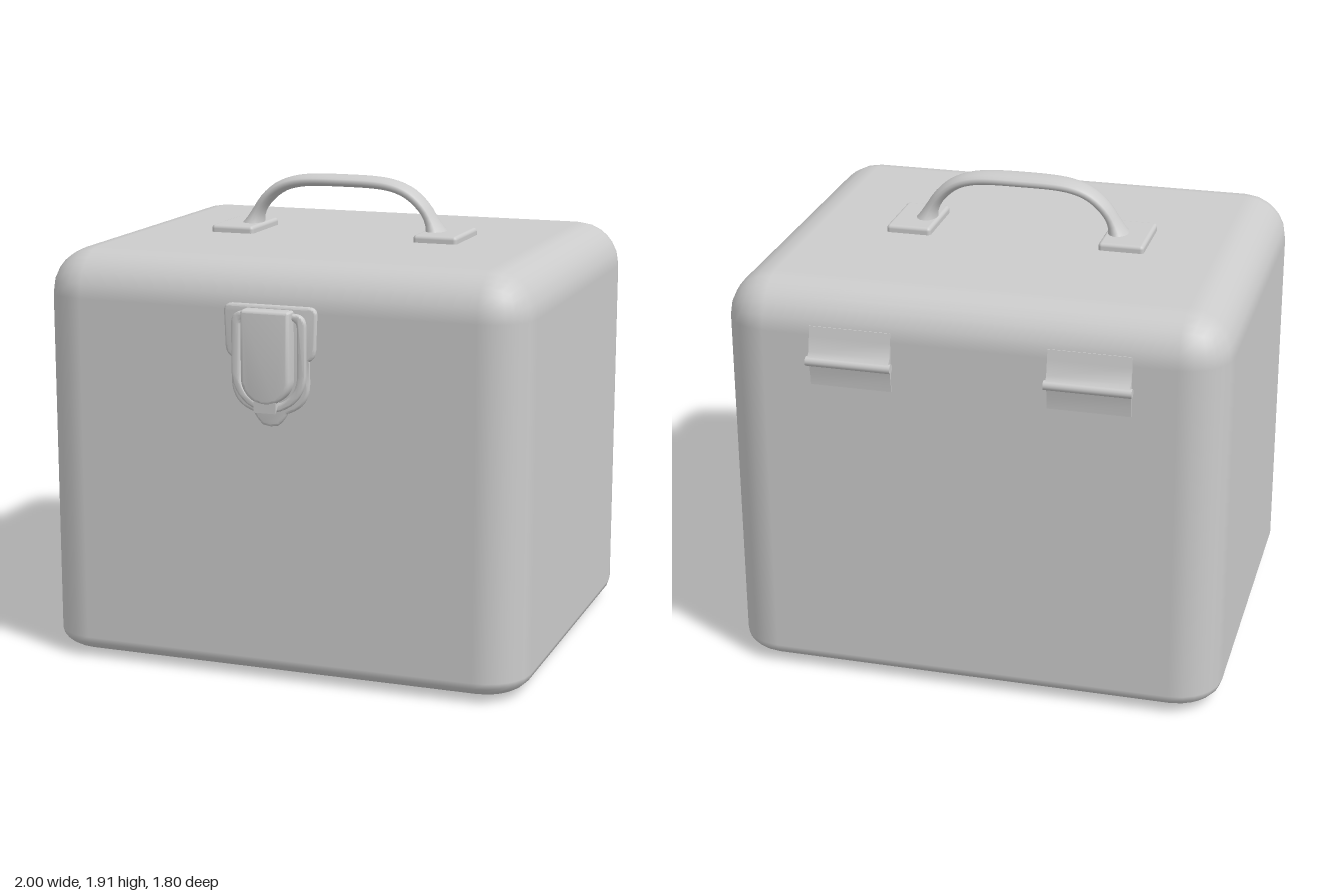
import * as THREE from 'three';
import { mergeVertices, toCreasedNormals } from 'three/addons/utils/BufferGeometryUtils.js';
import { RoundedBoxGeometry } from 'three/addons/geometries/RoundedBoxGeometry.js';

const grey = new THREE.MeshStandardMaterial({ color: 0xcccccc });

function add(parent, name, geometry, x = 0, y = 0, z = 0) {
  const mesh = new THREE.Mesh(geometry, grey);
  mesh.name = name;
  mesh.position.set(x, y, z);
  parent.add(mesh);
  return mesh;
}

// Case body: rounded box whose bottom edge is rounded more tightly in height
function bodyGeometry() {
  const h = 1.67, r = 0.185, bottom = 0.085;
  const g = new RoundedBoxGeometry(2, h, 1.68, 3, r);
  g.translate(0, h / 2, 0);
  const p = g.attributes.position, n = g.attributes.normal;
  const v = new THREE.Vector3();
  for (let i = 0; i < p.count; i++) {
    if (p.getY(i) > r + 0.001) continue;
    p.setY(i, p.getY(i) * bottom / r);
    v.fromBufferAttribute(n, i);
    v.y *= r / bottom;
    v.normalize();
    n.setXYZ(i, v.x, v.y, v.z);
  }
  return g;
}

// Grip: arched tube, widest in the middle and flared at the feet
function gripGeometry() {
  const half = [[0.4, 1.685], [0.385, 1.73], [0.35, 1.79], [0.285, 1.848], [0.2, 1.879]];
  const points = [
    ...half.map(([x, y]) => new THREE.Vector3(-x, y, 0)),
    new THREE.Vector3(0, 1.889, 0),
    ...half.slice().reverse().map(([x, y]) => new THREE.Vector3(x, y, 0)),
  ];
  const curve = new THREE.CatmullRomCurve3(points);
  const rings = 40, sides = 14;
  const g = new THREE.TubeGeometry(curve, rings, 1, sides);
  const p = g.attributes.position;
  for (let i = 0; i < p.count; i++) {
    const t = Math.floor(i / (sides + 1)) / rings;
    const c = curve.getPointAt(t);
    const s = Math.abs(2 * t - 1);
    const flare = Math.max(0, (s - 0.82) / 0.18) ** 2;
    const thick = 0.025 + 0.022 * flare;
    const wide = 0.045 + 0.02 * Math.cos(s * Math.PI / 2) ** 2 + 0.025 * flare;
    p.setXYZ(i,
      c.x + (p.getX(i) - c.x) * thick,
      c.y + (p.getY(i) - c.y) * thick,
      p.getZ(i) * wide);
  }
  g.deleteAttribute('uv');
  g.deleteAttribute('normal');
  const merged = mergeVertices(g);
  merged.computeVertexNormals();
  return merged;
}

// Bevelled plate from a shape, with its outer size kept and its back at z = 0
function plate(shape, depth, bevel) {
  const g = new THREE.ExtrudeGeometry(shape, {
    depth: depth - bevel, bevelEnabled: true, bevelThickness: bevel,
    bevelSize: bevel, bevelOffset: -bevel, bevelSegments: 3, curveSegments: 10,
  });
  return toCreasedNormals(g, 0.7);
}

// U shape: flat top with small corner radius, round bottom
function uShape(w, top, bottom, r, Path = THREE.Shape) {
  const s = new Path();
  s.moveTo(-w, top - r);
  s.lineTo(-w, bottom + w);
  s.absarc(0, bottom + w, w, Math.PI, Math.PI * 2, false);
  s.lineTo(w, top - r);
  s.quadraticCurveTo(w, top, w - r, top);
  s.lineTo(-w + r, top);
  s.quadraticCurveTo(-w, top, -w, top - r);
  return s;
}

// Back plate of the latch: broad shoulders, rounded waist and a small tail
function latchPlateShape() {
  const s = new THREE.Shape();
  s.moveTo(0, 1.035);
  s.lineTo(0.03, 1.04);
  s.quadraticCurveTo(0.055, 1.06, 0.07, 1.09);
  s.quadraticCurveTo(0.16, 1.12, 0.16, 1.21);
  s.lineTo(0.16, 1.3);
  s.quadraticCurveTo(0.185, 1.315, 0.185, 1.35);
  s.lineTo(0.19, 1.48);
  s.quadraticCurveTo(0.19, 1.51, 0.155, 1.51);
  s.lineTo(-0.155, 1.51);
  s.quadraticCurveTo(-0.19, 1.51, -0.19, 1.48);
  s.lineTo(-0.185, 1.35);
  s.quadraticCurveTo(-0.185, 1.315, -0.16, 1.3);
  s.lineTo(-0.16, 1.21);
  s.quadraticCurveTo(-0.16, 1.12, -0.07, 1.09);
  s.quadraticCurveTo(-0.055, 1.06, -0.03, 1.04);
  return s;
}

// Side profile extruded along x; the profile's first axis points out at the back
function alongX(points, width) {
  const shape = new THREE.Shape(points.map(([d, y]) => new THREE.Vector2(d, y)));
  const g = new THREE.ExtrudeGeometry(shape, { depth: width, bevelEnabled: false });
  g.translate(0, 0, -width / 2);
  g.rotateY(Math.PI / 2);
  return toCreasedNormals(g, 0.6);
}

export function createModel() {
  const model = new THREE.Group();
  model.name = 'carryingCase';
  add(model, 'body', bodyGeometry(), 0, 0, -0.015);

  // Top handle with two foot plates
  const handle = new THREE.Group();
  handle.name = 'handle';
  handle.position.set(-0.008, 0, -0.012);
  model.add(handle);
  add(handle, 'grip', gripGeometry());
  for (const side of [-1, 1]) {
    const foot = new RoundedBoxGeometry(0.185, 0.05, 0.3, 3, 0.015);
    add(handle, side > 0 ? 'leftFoot' : 'rightFoot', foot, side * 0.44, 1.675, 0);
  }

  // Front latch: back plate, raised frame, tongue and pull lip
  const latch = new THREE.Group();
  latch.name = 'latch';
  latch.position.set(-0.003, 0, 0.815);
  model.add(latch);
  add(latch, 'latchPlate', plate(latchPlateShape(), 0.027, 0.01));
  const frame = uShape(0.152, 1.485, 1.095, 0.05);
  frame.holes.push(uShape(0.118, 1.46, 1.125, 0.03, THREE.Path));
  add(latch, 'latchFrame', plate(frame, 0.048, 0.008));
  add(latch, 'latchTongue', plate(uShape(0.1, 1.497, 1.13, 0.012), 0.085, 0.014));
  const lip = [[-0.082, 1.1], [-0.058, 1.125], [-0.04, 1.145], [-0.082, 1.145]];
  add(latch, 'pullLip', alongX(lip, 0.09));

  // Back hinges: curved leaf with a knuckle rod
  const leaf = [[-0.03, 1.52], [0, 1.52], [0.008, 1.48], [0.02, 1.42], [0.038, 1.402],
    [0.038, 1.37], [0.018, 1.36], [0.01, 1.32], [0.007, 1.28], [-0.03, 1.28]].reverse();
  for (const side of [-1, 1]) {
    const hinge = new THREE.Group();
    hinge.name = side > 0 ? 'leftHinge' : 'rightHinge';
    hinge.position.set(side * 0.47 - 0.01, 0, -0.852);
    model.add(hinge);
    add(hinge, 'leaf', alongX(leaf, 0.325));
    const rod = new THREE.CylinderGeometry(0.019, 0.019, 0.34, 14);
    rod.rotateZ(Math.PI / 2);
    add(hinge, 'knuckle', rod, 0, 1.386, -0.03);
  }
  return model;
}
